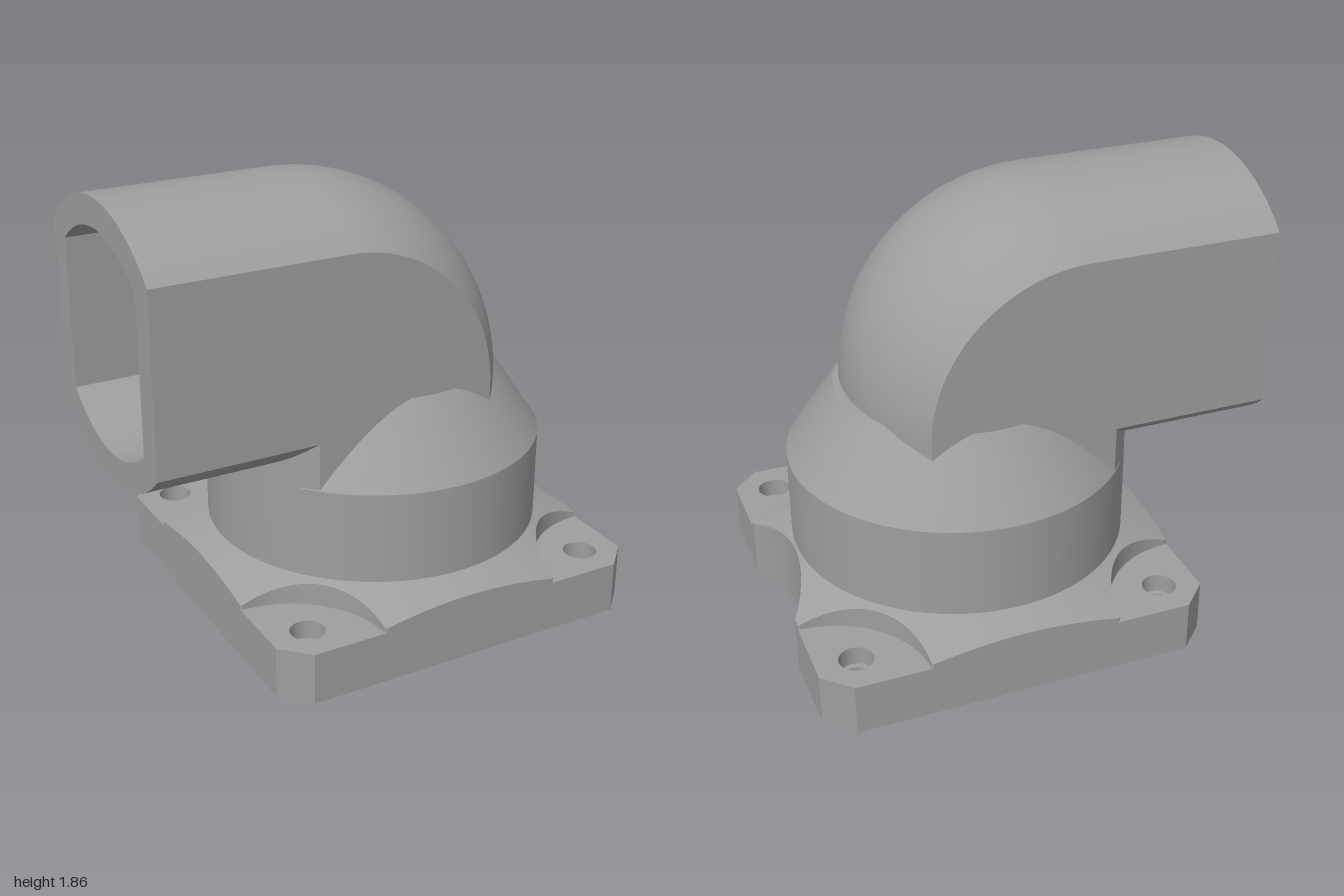
import * as THREE from 'three';
import { toCreasedNormals } from 'three/addons/utils/BufferGeometryUtils.js';

const CX = 0.18; // axis of the round body and flange

// Surface from a rule f(i, j) -> [x, y, z]; faces point along di x dj
function grid(ni, nj, f) {
  const pos = [], idx = [];
  for (let i = 0; i <= ni; i++) for (let j = 0; j <= nj; j++) pos.push(...f(i, j));
  for (let i = 0; i < ni; i++) for (let j = 0; j < nj; j++) {
    const a = i * (nj + 1) + j, b = a + nj + 1;
    idx.push(a, b, b + 1, a, b + 1, a + 1);
  }
  const g = new THREE.BufferGeometry();
  g.setAttribute('position', new THREE.Float32BufferAttribute(pos, 3));
  g.setIndex(idx);
  return toCreasedNormals(g, 0.5);
}

const circle = (x, y, r) => new THREE.Path().absarc(x, y, r, 0, Math.PI * 2, true);

// Dimensions of the flat-sided pipe, inset by the wall thickness d
function pipe(d) {
  const R = 0.7 - d, w = 0.49 - d, h = Math.sqrt(R * R - w * w), sag = R - h;
  const bulge = z => Math.sqrt(R * R - z * z) - h;
  const rb = 0.85 - d - sag, low = 0.715 + d + sag, left = -0.53 + d + sag;
  // path points: x, y, and direction in which the curved wall bulges
  const outer = [[-1, 1.01 + rb, 0, 1]];
  for (let k = 0; k <= 32; k++) {
    const a = Math.PI / 2 * (1 - k / 32), c = Math.cos(a), s = Math.sin(a);
    outer.push([-0.2 + rb * c, 1.01 + rb * s, c, s]);
  }
  outer.push([-0.2 + rb, 0.45, 1, 0]);
  const inner = [[-1, low, 0, -1], [left, low, -1, -1], [left, 0.45, -1, 0]];
  const section = [];
  for (let k = 0; k <= 24; k++) {
    const z = w - 2 * w * k / 24;
    section.push(new THREE.Vector2(z, 1.01 + rb + bulge(z)));
  }
  for (let k = 0; k <= 24; k++) {
    const z = -w + 2 * w * k / 24;
    section.push(new THREE.Vector2(z, low - bulge(z)));
  }
  return { w, bulge, outer, inner, section };
}

// Flange outline with chamfered corners and a round bite on the +x side
function flangeOutline() {
  const s = new THREE.Shape(), a = Math.asin(0.36 / 0.7);
  s.moveTo(-0.82, -0.71);
  s.lineTo(-0.71, -0.82);
  s.lineTo(0.71, -0.82);
  s.lineTo(0.82, -0.71);
  s.lineTo(0.82, -0.36);
  s.absarc(1.42, 0, 0.7, Math.PI + a, Math.PI - a, true);
  s.lineTo(0.82, 0.71);
  s.lineTo(0.71, 0.82);
  s.lineTo(-0.71, 0.82);
  s.lineTo(-0.82, 0.71);
  s.closePath();
  return s;
}

// Eight weight-saving pockets, two on each side of the flange
function pockets() {
  const out = [];
  for (let q = 0; q < 4; q++) for (const m of [-1, 1]) {
    const far = q === 0 ? 0.66 : 0.73;
    const pts = [[0.5, 0.07], [far, 0.07], [far, 0.46], [0.62, 0.46], [0.46, 0.27]];
    const c = Math.cos(q * Math.PI / 2), s = Math.sin(q * Math.PI / 2);
    out.push(new THREE.Path(pts.map(([d, t]) =>
      new THREE.Vector2(d * c - m * t * s, d * s + m * t * c))));
  }
  return out;
}

// Distance from the axis to the edge of the raised flange top
function skirtRadius(t) {
  const c = Math.cos(t), s = Math.sin(t);
  let r = 0.82 / Math.max(Math.abs(c), Math.abs(s));
  const cuts = [[1.42, 0, 0.7]];
  for (const x of [-0.82, 0.82]) for (const z of [-0.82, 0.82]) cuts.push([x, z, 0.42]);
  for (const [x, z, R] of cuts) {
    const p = x * c + z * s, disc = p * p - x * x - z * z + R * R;
    if (p > 0 && disc >= 0) r = Math.min(r, p - Math.sqrt(disc));
  }
  return r;
}

export function createModel() {
  const group = new THREE.Group();
  const grey = new THREE.MeshStandardMaterial({ color: 0x9e9e9e, side: THREE.DoubleSide });
  grey.name = 'grey';
  const add = (name, geo, x = 0, y = 0, z = 0) => {
    const m = new THREE.Mesh(geo, grey);
    m.name = name;
    m.position.set(x, y, z);
    group.add(m);
  };

  // Flange, in three layers: recess, pocketed core, counterbored top
  const layer = (name, y0, y1, boltR, holes) => {
    const s = flangeOutline();
    s.holes.push(...holes);
    for (const x of [-0.655, 0.655]) for (const y of [-0.655, 0.655]) s.holes.push(circle(x, y, boltR));
    const g = new THREE.ExtrudeGeometry(s, { depth: y1 - y0, bevelEnabled: false, curveSegments: 32 });
    add(name, toCreasedNormals(g.rotateX(-Math.PI / 2), 0.5), CX, y0, 0);
  };
  layer('flangeBottom', 0, 0.04, 0.047, [circle(0, 0, 0.41), ...pockets()]);
  layer('flangeCore', 0.04, 0.14, 0.047,
    [circle(0, 0, 0.27), circle(0, 0.34, 0.03), circle(0, -0.34, 0.03), ...pockets()]);
  layer('flangeTop', 0.14, 0.22, 0.07, [circle(0, 0, 0.27)]);

  // Sloping top of the flange, cut away round the bolt holes
  add('flangeSlope', grid(480, 2, (i, j) => {
    const t = i / 480 * Math.PI * 2, r = j === 0 ? 0.7 : skirtRadius(t);
    return [r * Math.cos(t), j === 2 ? 0.22 : 0.33 - 0.45 * (r - 0.71), r * Math.sin(t)];
  }), CX);

  // Round body
  add('body', new THREE.CylinderGeometry(0.71, 0.71, 0.495, 96, 1, true), CX, 0.4675, 0);

  // Conical shoulder, left open where the pipe passes through
  add('shoulder', grid(96, 10, (i, j) => {
    const r = 0.5 + 0.21 * j / 10, span = Math.PI - Math.asin(0.43 / r);
    const t = span * (2 * i / 96 - 1);
    return [r * Math.cos(t), 1.025 - 0.31 * j / 10, r * Math.sin(t)];
  }), CX);
  const lip = new THREE.RingGeometry(0.43, 0.5, 48, 1, -Math.PI / 3, Math.PI * 2 / 3);
  add('shoulderLip', lip.rotateX(-Math.PI / 2), CX, 1.025, 0);

  // Pipe elbow: outer skin and inner lining
  const skin = pipe(0), lining = pipe(0.12);
  for (const [p, name, dir] of [[skin, 'elbow', 1], [lining, 'lining', -1]]) {
    const strip = (path, sign) => grid(path.length - 1, 24, (i, j) => {
      const [x, y, ox, oy] = path[i], z = sign * p.w * (1 - j / 12), b = p.bulge(z);
      return [x + ox * b, y + oy * b, z];
    });
    add(name + 'OuterCurve', strip(p.outer, dir));
    add(name + 'InnerCurve', strip(p.inner, -dir));
    const side = new THREE.Shape([...p.inner, ...[...p.outer].reverse()]
      .map(([x, y]) => new THREE.Vector2(x, y)));
    for (const s of [-1, 1]) add(name + 'Side', new THREE.ShapeGeometry(side), 0, 0, s * p.w);
  }

  // Rim of the pipe mouth
  const rim = new THREE.Shape(skin.section);
  rim.holes.push(new THREE.Path(lining.section));
  add('pipeRim', new THREE.ShapeGeometry(rim).rotateY(-Math.PI / 2), -1, 0, 0);

  // Floor inside the elbow and the bore leading down through the flange
  const floor = new THREE.Shape([[-0.6, -0.38], [0.36, -0.38], [0.36, 0.38], [-0.6, 0.38]]
    .map(([x, y]) => new THREE.Vector2(x, y)));
  floor.holes.push(circle(0, 0, 0.27));
  add('innerFloor', new THREE.ShapeGeometry(floor, 32).rotateX(-Math.PI / 2), CX, 0.45, 0);
  add('bore', new THREE.CylinderGeometry(0.27, 0.27, 0.23, 64, 1, true), CX, 0.335, 0);

  return group;
}
